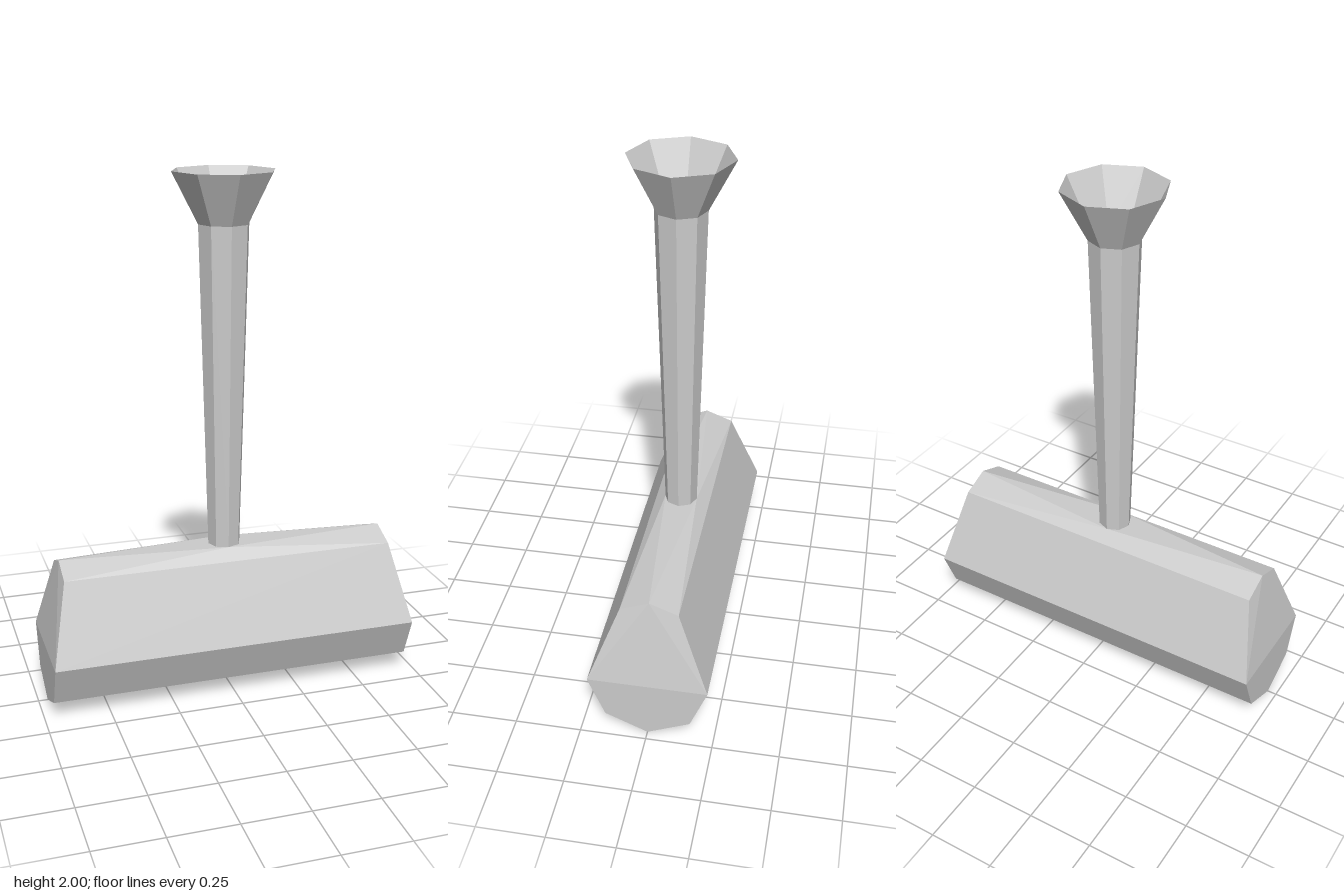
import * as THREE from 'three';

const material = new THREE.MeshStandardMaterial({
  color: 0xcccccc, flatShading: true, side: THREE.DoubleSide,
});

// Fans each flat polygon into triangles, turned away from the given centre.
function polygonGeometry(polygons, centre) {
  const positions = [];
  const normal = new THREE.Vector3(), edge = new THREE.Vector3(), out = new THREE.Vector3();
  for (const polygon of polygons) {
    const p = polygon.map((c) => new THREE.Vector3(...c));
    for (let i = 1; i < p.length - 1; i++) {
      const [a, b, c] = [p[0], p[i], p[i + 1]];
      normal.subVectors(b, a).cross(edge.subVectors(c, a));
      const outward = normal.dot(out.subVectors(a, centre)) >= 0;
      for (const v of outward ? [a, b, c] : [a, c, b]) positions.push(v.x, v.y, v.z);
    }
  }
  const geometry = new THREE.BufferGeometry();
  geometry.setAttribute('position', new THREE.Float32BufferAttribute(positions, 3));
  geometry.computeVertexNormals();
  return geometry;
}

export function createModel() {
  const group = new THREE.Group();
  const neckRadius = 0.063, neckY = 0.575;

  // Half cross-section of the hollow head: [half length, y, z], keel to ridge
  const profile = [
    [0.715, 0, 0], [0.715, 0.07, 0.16], [0.715, 0.23, 0.225],
    [0.65, 0.533, 0.108], [0.65, neckY, 0],
  ];
  const [keel, lower, belly, shoulder, ridge] = profile;
  const place = ([x, y, z], sx, sz) => [x * sx, y, z * sz];
  const polygons = [];

  for (const sz of [1, -1]) {
    // Long side panels
    for (let i = 0; i < 3; i++) {
      polygons.push([
        place(profile[i], -1, sz), place(profile[i], 1, sz),
        place(profile[i + 1], 1, sz), place(profile[i + 1], -1, sz),
      ]);
    }
    // Narrow facet rising from the shoulder edge to the neck
    polygons.push([place(shoulder, -1, sz), place(shoulder, 1, sz), [0, neckY, neckRadius * sz]]);

    // Top panels, meeting a quarter of the open neck ring
    for (const sx of [1, -1]) {
      const ring = [2, 1, 0].map((i) => [
        Math.cos(i * Math.PI / 4) * neckRadius * sx, neckY,
        Math.sin(i * Math.PI / 4) * neckRadius * sz,
      ]);
      polygons.push([place(ridge, sx, sz), place(shoulder, sx, sz), ...ring]);
    }
  }

  // Ends: upright below the belly, leaning inward above it
  for (const sx of [1, -1]) {
    polygons.push([
      place(keel, sx, 1), place(lower, sx, 1), place(belly, sx, 1),
      place(belly, sx, -1), place(lower, sx, -1),
    ]);
    polygons.push([
      place(ridge, sx, 1), place(shoulder, sx, 1), place(belly, sx, 1),
      place(belly, sx, -1), place(shoulder, sx, -1),
    ]);
  }
  const head = new THREE.Mesh(polygonGeometry(polygons, new THREE.Vector3(0, 0.3, 0)), material);
  head.name = 'head';
  group.add(head);

  // Open eight-sided tube and its flared mouth
  const addTube = (name, points) => {
    const mesh = new THREE.Mesh(
      new THREE.LatheGeometry(points.map((p) => new THREE.Vector2(...p)), 8), material);
    mesh.name = name;
    group.add(mesh);
  };
  addTube('stem', [[neckRadius, neckY], [0.097, 1.81]]);
  addTube('flaredMouth', [[0.097, 1.81], [0.195, 2]]);

  return group;
}
